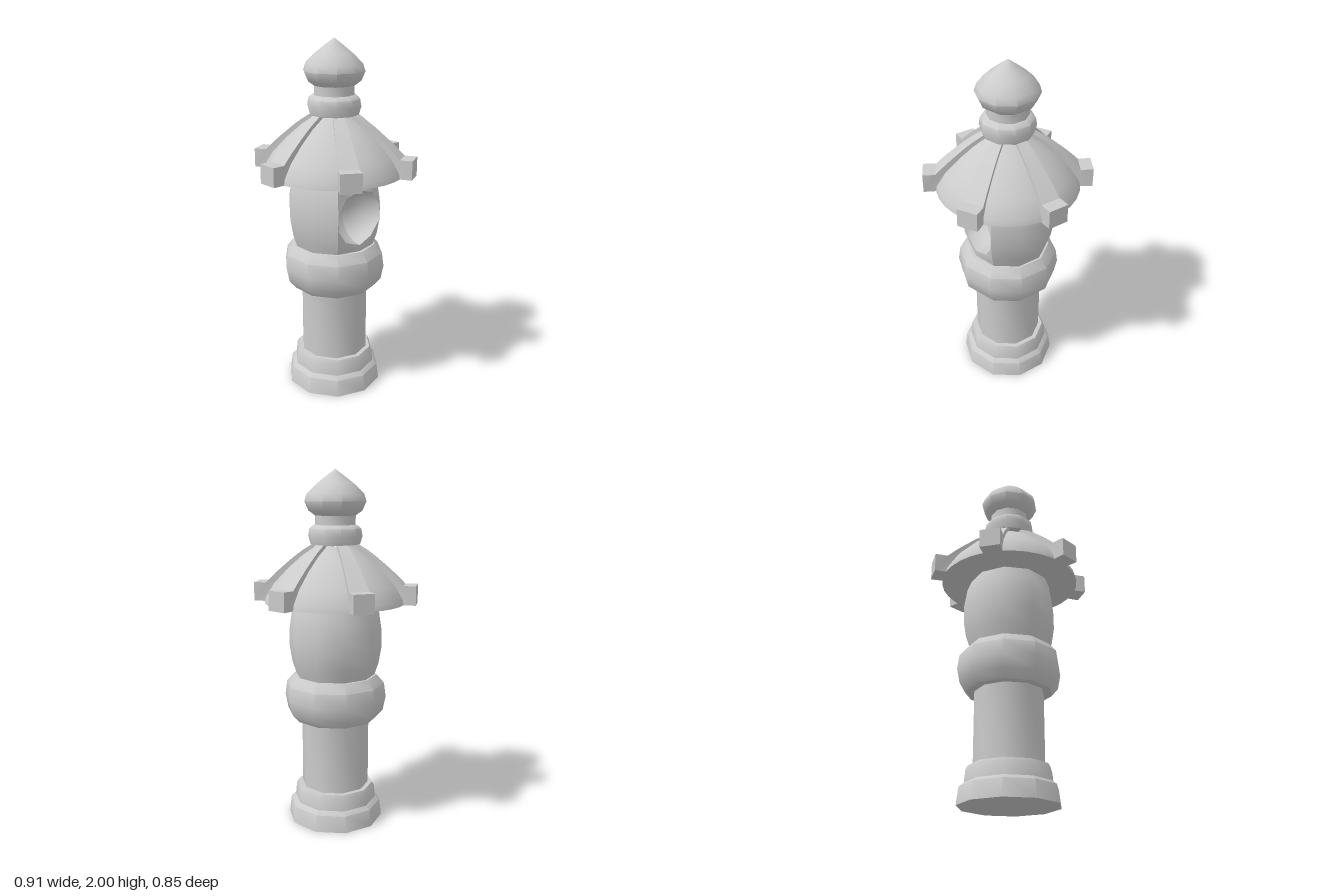
import * as THREE from 'three';
import { toCreasedNormals } from 'three/addons/utils/BufferGeometryUtils.js';

const stone = new THREE.MeshStandardMaterial({ color: 0xcccccc });
const stoneOpen = new THREE.MeshStandardMaterial({ color: 0xcccccc, side: THREE.DoubleSide });
const toPoints = (list) => list.map(([a, b]) => new THREE.Vector2(a, b));

// Turned part with smooth sides and sharp steps
function turned(name, profile, segments = 10, start = 0, length = Math.PI * 2) {
  const geo = new THREE.LatheGeometry(toPoints(profile), segments, start, length);
  const mesh = new THREE.Mesh(toCreasedNormals(geo, 0.78), stone);
  mesh.name = name;
  return mesh;
}

// Lamp chamber: eight turned panels and a flattened front with a round bowl-shaped opening
function lampChamber() {
  const group = new THREE.Group();
  group.name = 'lampChamber';
  const profile = [[0.225, 0.865], [0.247, 0.93], [0.262, 1.02], [0.262, 1.12], [0.247, 1.22], [0.222, 1.285]];
  const corner = Math.PI / 5;
  group.add(turned('chamberWall', profile, 8, corner, Math.PI * 2 - 2 * corner));

  const radiusAt = (y) => {
    const i = Math.max(1, profile.findIndex((p) => p[1] >= y - 1e-6));
    const [r0, y0] = profile[i - 1], [r1, y1] = profile[i];
    return THREE.MathUtils.lerp(r0, r1, (y - y0) / (y1 - y0));
  };
  const frontZ = (x, y) => {
    const r = radiusAt(y);
    const side = Math.min(1, Math.abs(x) / (r * Math.sin(corner)));
    return THREE.MathUtils.lerp(0.217, r * Math.cos(corner), side);
  };
  const bend = (geo) => {
    const p = geo.attributes.position;
    for (let i = 0; i < p.count; i++) p.setZ(i, p.getZ(i) + frontZ(p.getX(i), p.getY(i)));
    geo.computeVertexNormals();
    return geo;
  };

  // Front plate around the opening
  const holeR = 0.157, holeY = 1.058;
  const right = profile.map(([r, y]) => [r * Math.sin(corner), y]);
  const left = right.map(([x, y]) => [-x, y]).reverse();
  const plate = new THREE.Shape(toPoints([[0, 0.865], ...right, [0, 1.285], ...left]));
  const rim = [];
  for (let i = 0; i < 10; i++) {
    const a = (i / 10) * Math.PI * 2;
    rim.push([holeR * Math.sin(a), holeY - holeR * Math.cos(a)]);
  }
  plate.holes.push(new THREE.Path(toPoints(rim)));
  const front = new THREE.Mesh(bend(new THREE.ShapeGeometry(plate)), stoneOpen);
  front.name = 'chamberFront';

  // Hollow
  const bowl = [];
  for (let i = 0; i <= 6; i++) {
    const t = (i / 6) * Math.PI / 2;
    bowl.push([holeR * Math.cos(t), -0.15 * Math.sin(t)]);
  }
  const hollowGeo = new THREE.LatheGeometry(toPoints(bowl), 10);
  hollowGeo.rotateX(Math.PI / 2).translate(0, holeY, 0);
  const hollow = new THREE.Mesh(bend(hollowGeo), stoneOpen);
  hollow.name = 'lampHollow';
  group.add(front, hollow);
  return group;
}

// Curved roof rib that widens toward its blocky end
function ribGeometry() {
  const curve = new THREE.SplineCurve(toPoints([[0.385, 1.385], [0.33, 1.44], [0.25, 1.51], [0.18, 1.565], [0.1, 1.615]]));
  const outline = [...toPoints([[0.36, 1.28], [0.455, 1.28], [0.455, 1.385], [0.4, 1.385]]),
    ...curve.getPoints(8), ...toPoints([[0.1, 1.52], [0.25, 1.4]])];
  const geo = new THREE.ExtrudeGeometry(new THREE.Shape(outline), { depth: 2, bevelEnabled: false });
  geo.translate(0, 0, -1);
  const p = geo.attributes.position;
  for (let i = 0; i < p.count; i++) {
    const t = Math.min(1, (p.getX(i) - 0.1) / 0.3);
    p.setZ(i, p.getZ(i) * (0.026 + 0.031 * t));
  }
  return toCreasedNormals(geo, 0.5);
}

export function createModel() {
  const model = new THREE.Group();
  model.name = 'stoneLantern';

  model.add(turned('base', [[0, 0], [0.275, 0], [0.263, 0.095], [0.237, 0.115], [0.23, 0.185], [0.218, 0.205], [0, 0.205]]));
  model.add(turned('column', [[0.193, 0.2], [0.193, 0.62]]));
  model.add(turned('collar', [[0, 0.61], [0.237, 0.61], [0.275, 0.655], [0.291, 0.735], [0.28, 0.815], [0.237, 0.865], [0, 0.865]]));
  model.add(lampChamber());
  model.add(turned('roof', [[0, 1.28], [0.393, 1.28], [0.387, 1.31], [0.34, 1.385], [0.26, 1.47], [0.18, 1.54], [0.1, 1.595]], 32));

  // Six ribs around the roof
  const ribs = new THREE.Group();
  ribs.name = 'roofRibs';
  const rib = ribGeometry();
  for (let i = 0; i < 6; i++) {
    const mesh = new THREE.Mesh(rib, stone);
    mesh.name = 'roofRib';
    mesh.rotation.y = (i * Math.PI) / 3;
    ribs.add(mesh);
  }
  model.add(ribs);

  model.add(turned('finialRing', [[0, 1.6], [0.137, 1.6], [0.15, 1.645], [0.143, 1.685], [0.118, 1.705], [0, 1.705]]));
  model.add(turned('finialNeck', [[0.112, 1.7], [0.112, 1.755]]));
  model.add(turned('finialBud', [[0, 1.752], [0.108, 1.752], [0.148, 1.78], [0.17, 1.83], [0.157, 1.87], [0.105, 1.92], [0.05, 1.963], [0, 2]]));
  return model;
}
